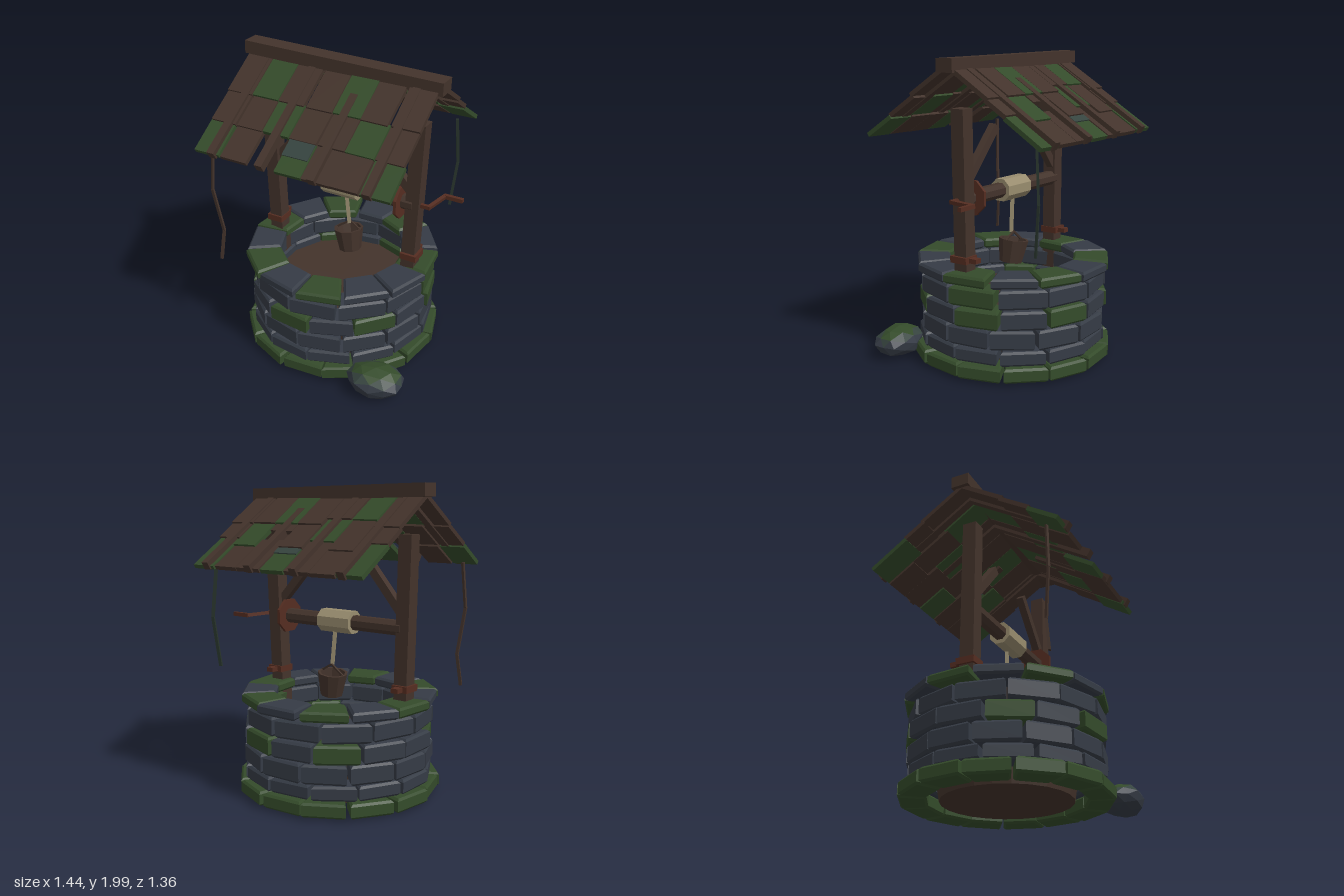
import * as THREE from 'three';

const mat = (name, color) => {
  const m = new THREE.MeshStandardMaterial({ color, flatShading: true });
  m.name = name;
  return m;
};

export function createModel() {
  const root = new THREE.Group();
  root.name = 'well';
  const wood = mat('dark wood', 0x43332b);
  const stone = mat('slate stone', 0x353b45);
  const moss = mat('moss', 0x344b2a);
  const lichen = mat('lichen grey', 0x36443f);
  const rust = mat('rusty iron', 0x552d21);
  const cord = mat('rope', 0x988c6e);
  const stem = mat('dark vine', 0x27332b);

  let seed = 7;
  const rnd = (a) => {
    seed = (seed * 16807) % 2147483647;
    return (seed / 2147483647 * 2 - 1) * a;
  };
  const add = (name, geo, material, x = 0, y = 0, z = 0, parent = root) => {
    const m = new THREE.Mesh(geo, material);
    m.name = name;
    m.position.set(x, y, z);
    parent.add(m);
    return m;
  };
  const box = (name, material, w, h, d, x, y, z, parent) =>
    add(name, new THREE.BoxGeometry(w, h, d), material, x, y, z, parent);
  // Box running from point a to point b
  const beam = (name, material, a, b, w, d, parent) => {
    const p = new THREE.Vector3(...a), q = new THREE.Vector3(...b);
    const dir = q.clone().sub(p);
    const m = box(name, material, w, dir.length(), d, 0, 0, 0, parent);
    m.position.copy(p).add(q).multiplyScalar(0.5);
    m.quaternion.setFromUnitVectors(new THREE.Vector3(0, 1, 0), dir.normalize());
    return m;
  };

  // Stone courses: bevelled blocks set in rings, with gaps opening outwards
  const block = (rIn, rOut, half, h) => {
    const b = 0.014, s = Math.sin(half), c = Math.cos(half);
    const wIn = rIn * s - b - 0.002, wOut = rOut * s - b - 0.012;
    const shape = new THREE.Shape([
      new THREE.Vector2(-wIn, rIn * c + b), new THREE.Vector2(wIn, rIn * c + b),
      new THREE.Vector2(wOut, rOut * c - b), new THREE.Vector2(-wOut, rOut * c - b),
    ]);
    const geo = new THREE.ExtrudeGeometry(shape, {
      depth: h - 2 * b, bevelEnabled: true, bevelThickness: b, bevelSize: b, bevelSegments: 1,
    });
    geo.translate(0, 0, b - h / 2);
    return geo.rotateX(Math.PI / 2);
  };
  const courses = [
    { name: 'baseStone', y0: 0.02, y1: 0.112, rIn: 0.49, rOut: 0.664, n: 14, start: 4, moss: [0, 1, 2, 3, 4, 5, 6, 7, 8, 9, 10, 11, 12, 13] },
    { name: 'wallStone', y0: 0.112, y1: 0.205, rIn: 0.46, rOut: 0.623, n: 13, start: -7, moss: [] },
    { name: 'wallStone', y0: 0.212, y1: 0.335, rIn: 0.46, rOut: 0.623, n: 13, start: 15, moss: [] },
    { name: 'wallStone', y0: 0.342, y1: 0.46, rIn: 0.46, rOut: 0.63, n: 13, start: -6, moss: [0, 2, 4, 6, 8, 11] },
    { name: 'wallStone', y0: 0.468, y1: 0.588, rIn: 0.46, rOut: 0.622, n: 12, start: 11, moss: [3] },
    { name: 'rimStone', y0: 0.605, y1: 0.67, rIn: 0.42, rOut: 0.65, n: 13, start: 15, moss: [0, 3, 5, 7, 9, 11] },
  ];
  const wall = new THREE.Group();
  wall.name = 'stoneWall';
  wall.position.set(-0.049, 0, -0.005);
  root.add(wall);
  for (const c of courses) {
    for (let i = 0; i < c.n; i++) {
      const geo = block(c.rIn, c.rOut + rnd(0.008), Math.PI / c.n, c.y1 - c.y0);
      const m = add(c.name, geo, c.moss.includes(i) ? moss : stone, 0, (c.y0 + c.y1) / 2, 0, wall);
      m.rotation.y = THREE.MathUtils.degToRad(c.start + i * 360 / c.n) + rnd(0.015);
    }
  }
  // Earth filling the shaft
  add('earthFill', new THREE.CylinderGeometry(0.475, 0.41, 0.37, 24), wood, 0, 0.215, 0, wall);

  // Posts, iron brackets and diagonal braces
  beam('leftPost', wood, [-0.545, 0.47, 0], [-0.567, 1.69, 0.01], 0.092, 0.092);
  beam('rightPost', wood, [0.445, 0.47, 0], [0.487, 1.67, -0.015], 0.092, 0.092);
  for (const x of [-0.555, 0.463]) {
    box('postBracket', rust, 0.112, 0.042, 0.122, x, 0.743, 0);
    box('bracketBolt', rust, 0.05, 0.03, 0.06, x, 0.743, -0.085);
  }
  beam('brace', wood, [-0.54, 1.2, 0], [-0.26, 1.53, 0], 0.055, 0.05);
  beam('brace', wood, [0.45, 1.2, 0], [0.14, 1.535, 0], 0.055, 0.05);

  // Windlass: axle, rope roll, wheel and crank
  const axleY = 1.116;
  const roller = (name, material, r, x0, x1, sides) => {
    const geo = new THREE.CylinderGeometry(r, r, x1 - x0, sides).rotateZ(Math.PI / 2);
    geo.rotateX(Math.PI / sides);
    return add(name, geo, material, (x0 + x1) / 2, axleY, 0);
  };
  roller('axle', wood, 0.05, -0.54, 0.47, 8);
  roller('ropeRoll', cord, 0.078, -0.17, 0.08, 8);
  roller('wheel', rust, 0.117, 0.372, 0.392, 8);
  beam('crankShaft', rust, [0.46, axleY, 0], [0.575, axleY, 0], 0.024, 0.024);
  beam('crankArm', rust, [0.565, axleY, 0.012], [0.6, axleY, -0.185], 0.024, 0.024);
  beam('crankHandle', rust, [0.59, axleY, -0.18], [0.722, axleY, -0.18], 0.026, 0.026);

  // Rope and bucket
  beam('rope', cord, [-0.03, 1.06, -0.02], [-0.01, 0.825, -0.025], 0.024, 0.024);
  const bucket = new THREE.Group();
  bucket.name = 'bucket';
  bucket.position.set(-0.012, 0.695, -0.03);
  bucket.rotation.set(-0.08, 0, 0.13);
  root.add(bucket);
  const profile = [[0, -0.07], [0.075, -0.07], [0.1, 0.083], [0.083, 0.083], [0.065, -0.04], [0, -0.04]];
  add('bucketBody', new THREE.LatheGeometry(profile.map((p) => new THREE.Vector2(...p)), 9), wood, 0, 0, 0, bucket);
  for (const s of [-1, 1]) {
    beam('bucketHandle', wood, [s * 0.091, 0.075, 0], [0.015, 0.135, 0], 0.012, 0.012, bucket);
  }

  // Roof: ridge beam, rafters and three overlapping rows of boards per side
  const ridge = box('ridgeBeam', wood, 1.355, 0.082, 0.12, -0.041, 1.938, -0.008);
  ridge.rotation.z = -0.022;
  const slope = 0.565;
  const onRoof = (name, material, s, x, w, h0, h1, thick, lift) => {
    const h = (h0 + h1) / 2;
    const m = box(name, material, w, thick, (h1 - h0) / Math.cos(slope), x, 1.91 - 0.634 * h + lift, s * h - 0.005);
    m.rotation.x = s * slope;
    return m;
  };
  const colX = [-0.61, -0.42, -0.235, -0.045, 0.14, 0.325, 0.515];
  const upperEnd = [0.29, 0.235, 0.235, 0.29, 0.29, 0.29, 0.29]; // back side, per column
  const middleEnd = [0.41, 0.475, 0.41, 0.475, 0.34, 0.475, 0.41];
  for (const s of [1, -1]) {
    for (const [x, start] of [[-0.565, 0], [-0.225, 0], [0.125, 0.15], [0.475, 0]]) {
      onRoof('rafter', wood, s, x, 0.05, start, 0.667, 0.054, 0.003);
    }
    colX.forEach((x, c) => {
      const a = s > 0 ? 0.285 : upperEnd[c], b = s > 0 ? 0.465 : middleEnd[c];
      const rows = [[0, a], [a - 0.02, b], [Math.max(b - 0.01, 0.4), 0.648]];
      rows.forEach(([h0, h1], r) => {
        if (s > 0 && r === 2 && c === 2) return; // fallen board
        const m = onRoof('roofBoard', c % 3 === (r + 1) % 3 ? moss : wood, s, x + rnd(0.004),
          0.178 + rnd(0.006), h0, h1, 0.028, 0.012 - r * 0.015 + rnd(0.003));
        m.rotation.y = rnd(0.012);
      });
    });
  }
  // Lichen patches on the mossy eave boards
  onRoof('lichenPatch', lichen, 1, -0.045, 0.172, 0.47, 0.565, 0.008, 0.004);
  onRoof('lichenPatch', lichen, -1, -0.045, 0.172, 0.48, 0.525, 0.008, 0.004);

  // Hanging vines
  const vine = (material, pts) => {
    for (let i = 1; i < pts.length; i++) beam('vine', material, pts[i - 1], pts[i], 0.014, 0.02);
  };
  vine(wood, [[-0.64, 1.49, 0.55], [-0.66, 1.19, 0.565], [-0.625, 0.88, 0.53], [-0.645, 0.67, 0.555]]);
  vine(stem, [[0.5, 1.48, -0.56], [0.515, 1.16, -0.585], [0.49, 0.84, -0.55]]);

  // Boulder with a mossy crown
  const rock = new THREE.IcosahedronGeometry(1, 1);
  const pos = rock.attributes.position;
  const v = new THREE.Vector3();
  for (let i = 0; i < pos.count; i++) {
    v.fromBufferAttribute(pos, i);
    const k = 1 + 0.07 * Math.sin(v.x * 5 + v.y * 3) * Math.cos(v.z * 4 - v.y * 2);
    pos.setXYZ(i, v.x * k * 0.188, v.y * k * 0.098, v.z * k * 0.142);
  }
  rock.computeVertexNormals();
  for (let i = 0; i < pos.count; i += 3) {
    const y = (pos.getY(i) + pos.getY(i + 1) + pos.getY(i + 2)) / 3;
    rock.addGroup(i, 3, y > 0.06 ? 2 : y > 0.03 ? 1 : 0);
  }
  add('boulder', rock, [stone, lichen, moss], 0.492, 0.105, 0.535).rotation.y = 0.12;

  return root;
}
